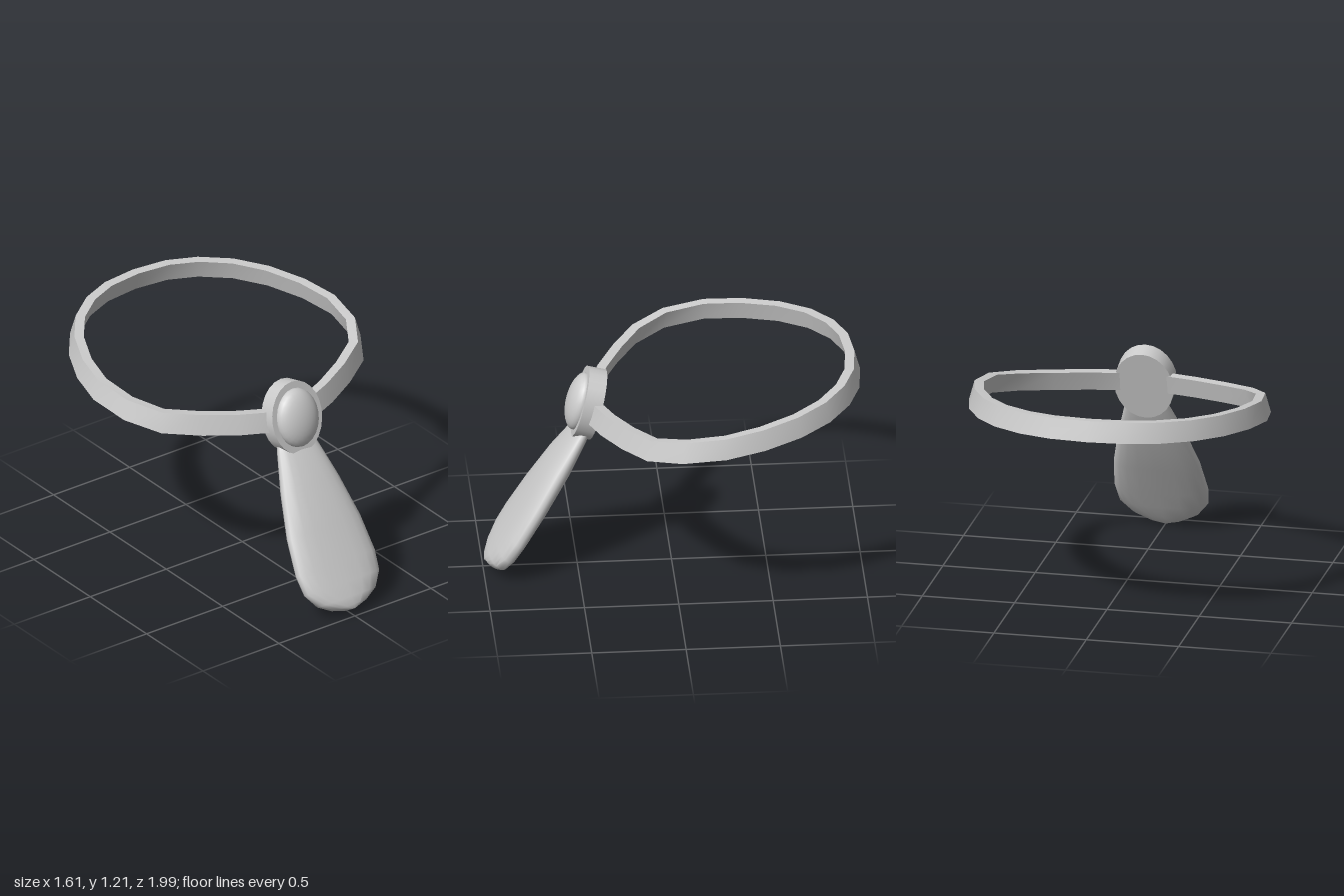
import * as THREE from 'three';
import { toCreasedNormals } from 'three/addons/utils/BufferGeometryUtils.js';

// Skin a list of equal-sized point rings; either join last to first or cap both ends
function loft(rings, closed, crease) {
  const n = rings[0].length, m = rings.length;
  const pos = rings.flat(2), idx = [];
  for (let i = 0; i < (closed ? m : m - 1); i++) {
    const k = (i + 1) % m;
    for (let j = 0; j < n; j++) {
      const l = (j + 1) % n;
      const a = i * n + j, b = i * n + l, c = k * n + j, d = k * n + l;
      idx.push(a, b, c, b, d, c);
    }
  }
  if (!closed) {
    const e = (m - 1) * n;
    for (let j = 1; j < n - 1; j++) idx.push(0, j + 1, j, e, e + j, e + j + 1);
  }
  const geo = new THREE.BufferGeometry();
  geo.setAttribute('position', new THREE.Float32BufferAttribute(pos, 3));
  geo.setIndex(idx);
  return toCreasedNormals(geo, crease);
}

// Piecewise-linear lookup in [x, y] pairs
function lookup(pairs, x) {
  for (let i = 1; i < pairs.length; i++) {
    const [x0, y0] = pairs[i - 1], [x1, y1] = pairs[i];
    if (x <= x1 || i === pairs.length - 1) return y0 + (y1 - y0) * (x - x0) / (x1 - x0);
  }
}

// Circlet: flared rectangular band that dips toward the front
function bandGeometry() {
  const half = [[0.206, -0.98], [0.38, -0.915], [0.54, -0.8], [0.667, -0.64], [0.76, -0.44],
    [0.807, -0.23], [0.777, 0], [0.665, 0.18], [0.485, 0.3], [0.3, 0.395], [0.155, 0.45]];
  const path = [[0, -1], ...half, [0, 0.475], ...half.map(([x, z]) => [-x, z]).reverse()];
  const base = [[-1, 1.11], [-0.23, 1.03], [0, 1.0], [0.2, 0.96], [0.45, 0.918]];
  const rings = path.map(([x, z], i) => {
    const p = path[(i + path.length - 1) % path.length], q = path[(i + 1) % path.length];
    const tx = q[0] - p[0], tz = q[1] - p[1], len = Math.hypot(tx, tz);
    const y = lookup(base, z);
    const at = (inset, h) => [x - tz / len * inset, y + h, z + tx / len * inset];
    return [at(0.08, 0.105), at(0.052, 0), at(0, 0), at(0.03, 0.108)];
  });
  return loft(rings, true, 0.6);
}

// Pendant: flattened teardrop slanting down and forward
function pendantGeometry() {
  // distance along the slant, half width, half thickness
  const stations = [[-0.49, 0.105, 0.03], [-0.42, 0.128, 0.042], [-0.22, 0.182, 0.06], [0.02, 0.235, 0.06],
    [0.22, 0.255, 0.058], [0.33, 0.242, 0.057], [0.41, 0.185, 0.056], [0.455, 0.105, 0.052], [0.477, 0.02, 0.042]];
  const sides = 20, centre = 0.832;
  const round = v => Math.sign(v) * Math.abs(v) ** 0.78;
  const rings = stations.map(([s, w, t]) => Array.from({ length: sides }, (_, j) => {
    const a = j / sides * Math.PI * 2;
    const c = centre + t * round(Math.sin(a));
    return [w * round(Math.cos(a)), 0.522 * c - 0.853 * s, 0.853 * c + 0.522 * s];
  }));
  return loft(rings, false, 0.9);
}

export function createModel() {
  const model = new THREE.Group();
  model.name = 'circletWithPendant';
  const metal = new THREE.MeshStandardMaterial({ color: 0xcccccc });
  metal.name = 'lightGrey';

  const add = (parent, name, geometry) => {
    const mesh = new THREE.Mesh(geometry, metal);
    mesh.name = name;
    parent.add(mesh);
    return mesh;
  };

  add(model, 'headBand', bandGeometry());
  add(model, 'pendant', pendantGeometry());

  // Oval setting with a domed stone, tilted slightly upward
  const brooch = new THREE.Group();
  brooch.name = 'brooch';
  brooch.position.set(0, 0.965, 0.44);
  brooch.rotation.x = -0.26;
  model.add(brooch);

  const setting = add(brooch, 'setting', new THREE.CylinderGeometry(1, 1, 0.098, 24).rotateX(Math.PI / 2));
  setting.scale.set(0.16, 0.2, 1);

  const stone = add(brooch, 'stone', new THREE.SphereGeometry(1, 24, 8, 0, Math.PI * 2, 0, Math.PI / 2).rotateX(Math.PI / 2));
  stone.scale.set(0.13, 0.162, 0.07);
  stone.position.z = 0.049;

  return model;
}
